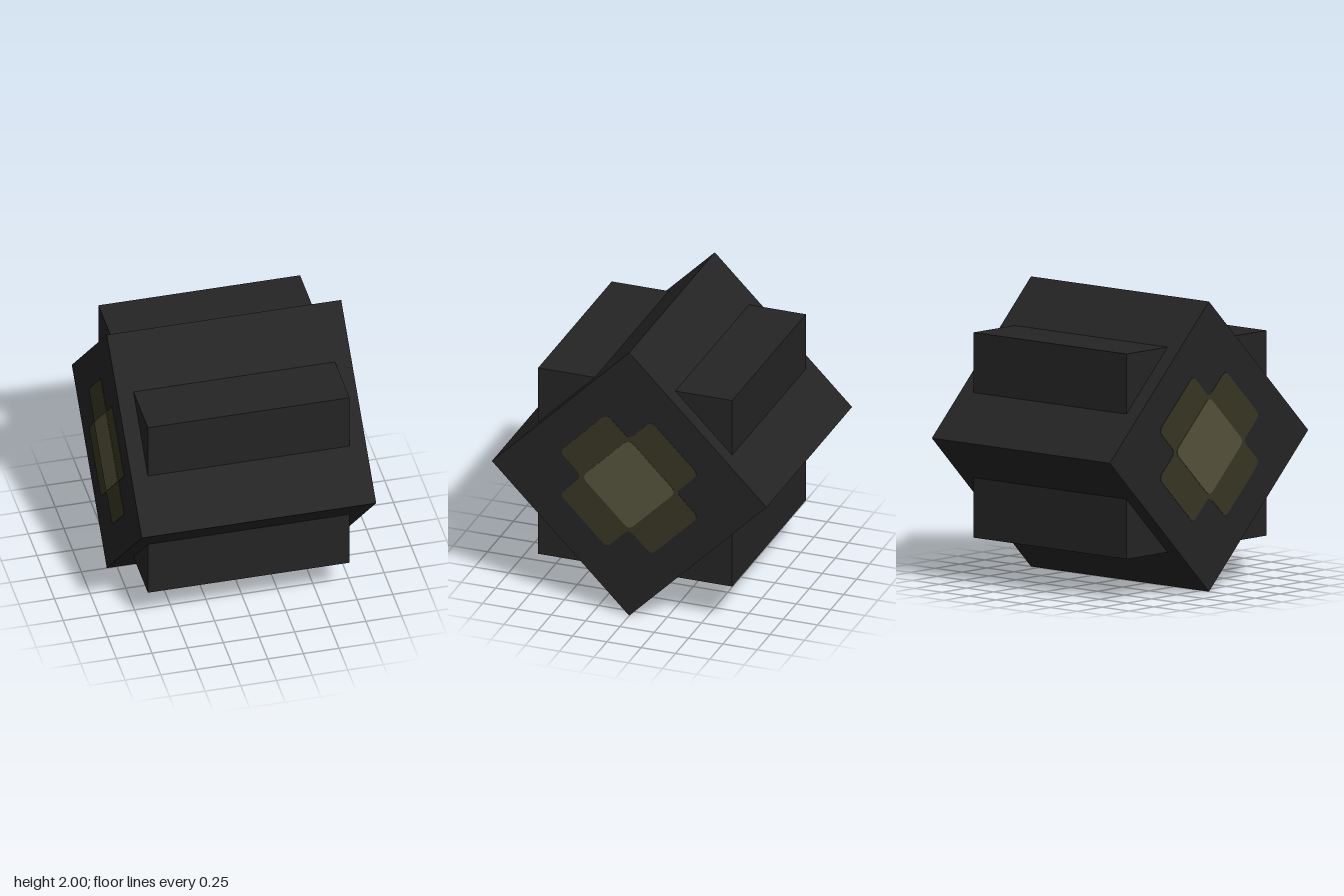
import * as THREE from 'three';

// Closed outline with every corner rounded by r
function roundedOutline(points, r) {
  const pts = points.map(([x, y]) => new THREE.Vector2(x, y));
  const shape = new THREE.Shape();
  pts.forEach((p, i) => {
    const prev = pts[(i + pts.length - 1) % pts.length];
    const next = pts[(i + 1) % pts.length];
    const a = p.clone().add(prev.clone().sub(p).setLength(r));
    const b = p.clone().add(next.clone().sub(p).setLength(r));
    if (i === 0) shape.moveTo(a.x, a.y);
    else shape.lineTo(a.x, a.y);
    shape.quadraticCurveTo(p.x, p.y, b.x, b.y);
  });
  shape.closePath();
  return shape;
}

export function createModel() {
  const model = new THREE.Group();
  const charcoal = new THREE.MeshStandardMaterial({ color: 0x242424 });
  charcoal.name = 'charcoal';
  const darkOlive = new THREE.MeshStandardMaterial({ color: 0x373522 });
  darkOlive.name = 'darkOlive';
  const paleOlive = new THREE.MeshStandardMaterial({ color: 0x54523a });
  paleOlive.name = 'paleOlive';

  const HALF = 0.822; // half length of the main block
  const SIDE = Math.SQRT2;

  function add(parent, name, geometry, material) {
    const mesh = new THREE.Mesh(geometry, material);
    mesh.name = name;
    parent.add(mesh);
    return mesh;
  }

  // Two interlocking blocks, the longer one turned onto its edge
  const main = add(model, 'turnedBlock', new THREE.BoxGeometry(HALF * 2, SIDE, SIDE), charcoal);
  main.position.y = 1;
  main.rotation.x = Math.PI / 4;
  const inner = add(model, 'uprightBlock', new THREE.BoxGeometry(SIDE, SIDE, SIDE), charcoal);
  inner.position.y = 1;

  // Diagonal cross with a lighter square at its centre, on both ends
  const w = 0.243, l = 0.473;
  const cross = roundedOutline([
    [w, -l], [w, -w], [l, -w], [l, w], [w, w], [w, l],
    [-w, l], [-w, w], [-l, w], [-l, -w], [-w, -w], [-w, -l],
  ], 0.045);
  const square = roundedOutline([[w, -w], [w, w], [-w, w], [-w, -w]], 0.05);
  const plate = (shape, depth) =>
    new THREE.ExtrudeGeometry(shape, { depth, bevelEnabled: false, curveSegments: 6 }).rotateZ(Math.PI / 4);
  const crossPlate = plate(cross, 0.003);
  const squarePlate = plate(square, 0.006);

  for (const side of [1, -1]) {
    const panel = new THREE.Group();
    panel.name = side > 0 ? 'leftEndPanel' : 'rightEndPanel';
    panel.position.set(side * HALF, 1, 0);
    panel.rotation.y = side * Math.PI / 2;
    add(panel, 'crossPlate', crossPlate, darkOlive);
    add(panel, 'centrePlate', squarePlate, paleOlive);
    model.add(panel);
  }
  return model;
}
